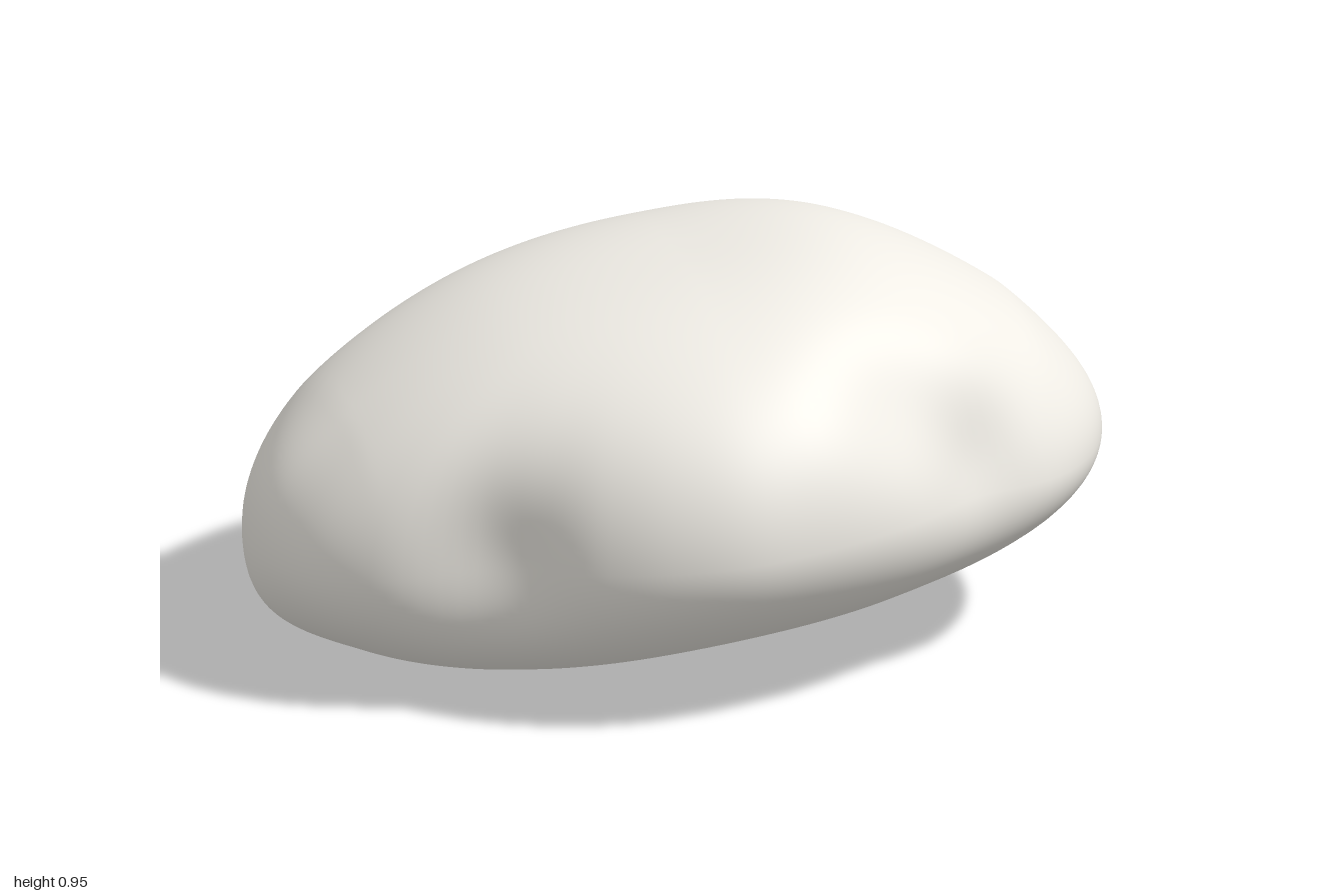
import * as THREE from 'three';

// Plan outline of the boulder as [x, z], going from +x round through +z
const OUTLINE = [
  [1, -0.1], [0.98, 0.1], [0.9, 0.3], [0.78, 0.45], [0.57, 0.55], [0.37, 0.67], [0.15, 0.75],
  [-0.03, 0.775], [-0.2, 0.74], [-0.35, 0.665], [-0.48, 0.565], [-0.6, 0.49], [-0.8, 0.4],
  [-0.93, 0.27], [-0.99, 0.1], [-0.99, -0.06], [-0.96, -0.22], [-0.88, -0.38], [-0.75, -0.5],
  [-0.6, -0.6], [-0.42, -0.7], [-0.25, -0.755], [0, -0.78], [0.25, -0.765], [0.42, -0.7],
  [0.58, -0.58], [0.75, -0.45], [0.9, -0.36], [0.98, -0.24],
];

// Crown and underside heights along x
const X_STOPS = [-1, -0.8, -0.4, 0, 0.4, 0.8, 1];
const CROWN = [0.74, 0.79, 0.87, 0.925, 0.965, 0.89, 0.8];
const FLOOR = [-0.12, -0.08, -0.02, 0.05, 0.09, 0.12, 0.14];

// Swellings (+) and hollows (-): x, y, z, spread, push away from the middle
const BUMPS = [
  [0.36, 0.65, 0.48, 0.17, -0.08], [0.64, 0.54, 0.42, 0.17, -0.08],
  [0.7, 0.5, -0.46, 0.17, -0.05], [-0.55, 0.4, 0.5, 0.15, -0.03],
  [-0.93, 0.12, -0.05, 0.16, 0.035], [-0.95, 0.48, 0, 0.16, 0.02],
];
const MIDDLE = new THREE.Vector3(0, 0.4, 0);

// Smooth interpolation through the height stops
function profile(values) {
  const curve = new THREE.SplineCurve(X_STOPS.map((x, i) => new THREE.Vector2(x, values[i])));
  return (x) => {
    let i = 0;
    while (i < X_STOPS.length - 2 && x > X_STOPS[i + 1]) i++;
    const f = THREE.MathUtils.clamp((x - X_STOPS[i]) / (X_STOPS[i + 1] - X_STOPS[i]), 0, 1);
    return curve.getPoint((i + f) / (X_STOPS.length - 1)).y;
  };
}

function boulderGeometry(around = 160, rings = 96) {
  const outline = new THREE.CatmullRomCurve3(
    OUTLINE.map(([x, z]) => new THREE.Vector3(x, 0, z)), true);
  const edge = outline.getPoints(around);
  const crown = profile(CROWN), floor = profile(FLOOR);
  const positions = [], indices = [];

  // Point in the direction of an edge point on ring phi (0 top, PI bottom)
  const addPoint = (e, phi) => {
    const s = Math.sin(phi);
    const dome = Math.sqrt(Math.max(0, 1 - s ** 2.5));
    // Notches of the outline fade into an oval away from the waist
    const oval = 1 / Math.hypot(e.x / 0.98, e.z / 0.77);
    const scale = s * THREE.MathUtils.lerp(oval, 1, s ** 4);
    const x = e.x * scale, z = e.z * scale;
    const waist = 0.45 + 0.075 * x - 0.075 * x * x - 0.03 * z;
    const limit = phi < Math.PI / 2 ? crown(x) : floor(x) + 0.06 * z;
    const point = new THREE.Vector3(x, waist + (limit - waist) * dome, z);
    const outward = point.clone().sub(MIDDLE).normalize();
    let push = 0;
    for (const [bx, by, bz, spread, amount] of BUMPS) {
      const d2 = (point.x - bx) ** 2 + (point.y - by) ** 2 + (point.z - bz) ** 2;
      push += amount * Math.exp(-d2 / (spread * spread));
    }
    positions.push(...point.addScaledVector(outward, push).toArray());
  };

  // Rings from the crown down to the underside
  addPoint(edge[0], 0);
  for (let r = 1; r < rings; r++) {
    for (let a = 0; a < around; a++) addPoint(edge[a], (Math.PI * r) / rings);
  }
  addPoint(edge[0], Math.PI);

  // Skin between rings, with fans at both poles
  const last = 1 + (rings - 1) * around;
  for (let a = 0; a < around; a++) {
    const b = (a + 1) % around;
    indices.push(0, 1 + b, 1 + a);
    for (let r = 0; r < rings - 2; r++) {
      const p = 1 + r * around, q = p + around;
      indices.push(p + a, p + b, q + a, p + b, q + b, q + a);
    }
    indices.push(last, last - around + a, last - around + b);
  }

  const geometry = new THREE.BufferGeometry();
  geometry.setAttribute('position', new THREE.Float32BufferAttribute(positions, 3));
  geometry.setIndex(indices);
  geometry.computeBoundingBox();
  const { min, max } = geometry.boundingBox;
  geometry.translate(-(min.x + max.x) / 2, -min.y, -(min.z + max.z) / 2);
  geometry.computeVertexNormals();
  return geometry;
}

export function createModel() {
  const group = new THREE.Group();
  group.name = 'rock';
  const boulder = new THREE.Mesh(
    boulderGeometry(), new THREE.MeshStandardMaterial({ color: 0xf0ede6 }));
  boulder.name = 'boulder';
  group.add(boulder);
  return group;
}
